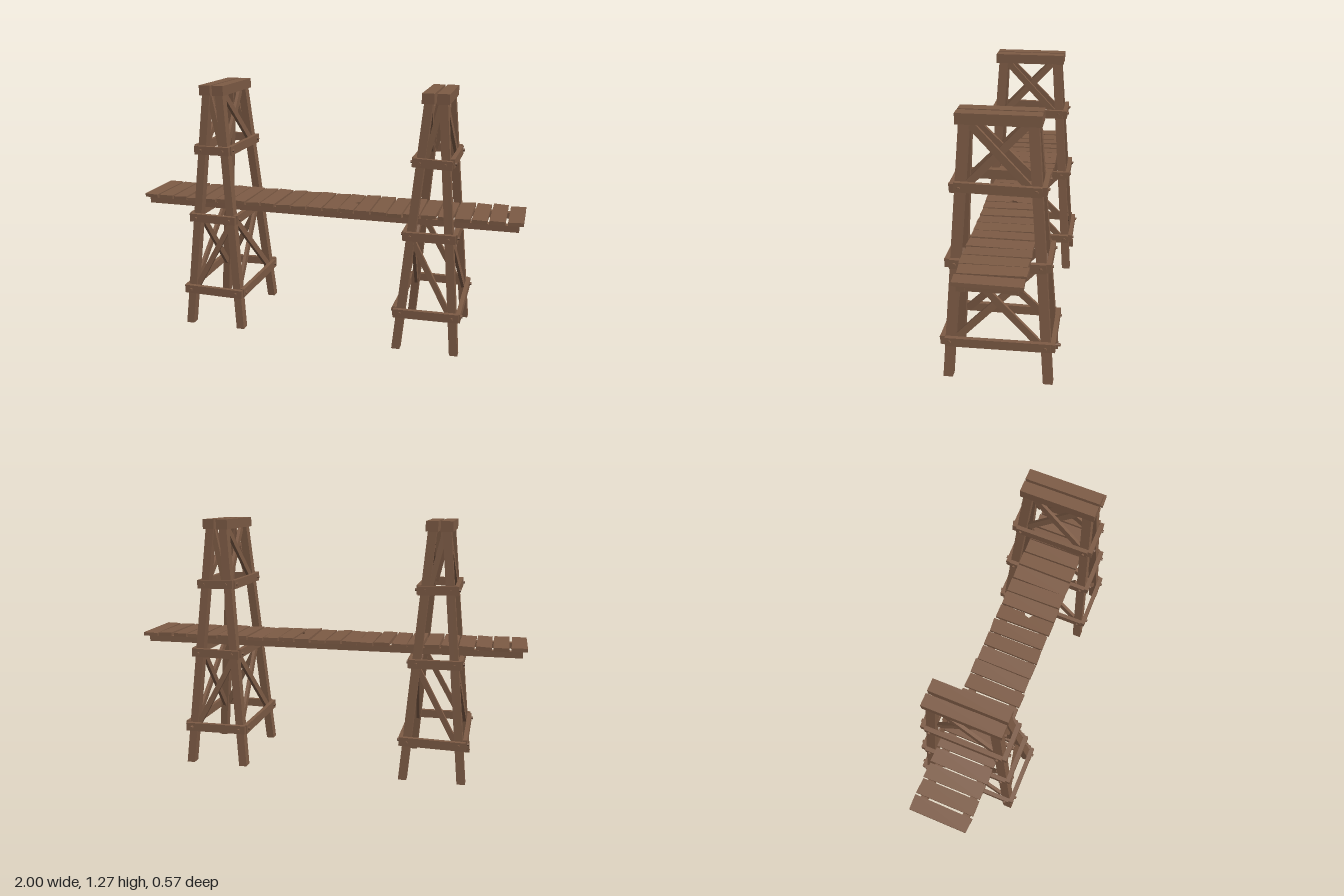
import * as THREE from 'three';

const V = (x, y, z) => new THREE.Vector3(x, y, z);
const LEG_TOP = 1.23;
const MID_Z = 0.0125;

// half spacing of a tower's legs at a height
const legX = (y) => THREE.MathUtils.lerp(0.145, 0.035, y / LEG_TOP);
const legZ = (y) => THREE.MathUtils.lerp(0.238, 0.15, y / LEG_TOP);

function makeRandom(seed) {
  return () => {
    seed = (seed * 16807) % 2147483647;
    return seed / 2147483647 - 0.5;
  };
}

export function createModel() {
  const wood = new THREE.MeshStandardMaterial({ color: 0x7d5b45 });
  wood.name = 'brown wood';
  wood.flatShading = true;
  const rand = makeRandom(4711);
  const model = new THREE.Group();
  model.name = 'trestleBridge';

  function add(parent, geometry, name) {
    const mesh = new THREE.Mesh(geometry, wood);
    mesh.name = name;
    parent.add(mesh);
    return mesh;
  }

  // straight timber from a to b, its thickness measured along the given normal
  function beam(parent, name, a, b, width, thickness, normal) {
    const along = b.clone().sub(a);
    const length = along.length();
    along.normalize();
    const side = normal.clone().cross(along).normalize();
    const out = along.clone().cross(side);
    const geo = new THREE.BoxGeometry(width, thickness, length);
    geo.applyMatrix4(new THREE.Matrix4().makeBasis(side, out, along));
    const mesh = add(parent, geo, name);
    // makeBasis(side, out, along) is left-handed when out opposes along x side
    mesh.position.copy(a).add(b).multiplyScalar(0.5);
    return mesh;
  }

  // leaning leg with level ends
  function leg(parent, sx, sz) {
    const geo = new THREE.BoxGeometry(0.041, LEG_TOP, 0.046);
    geo.translate(0, LEG_TOP / 2, 0);
    const p = geo.attributes.position;
    for (let i = 0; i < p.count; i++) {
      const y = p.getY(i);
      p.setXYZ(i, p.getX(i) + sx * legX(y), y, p.getZ(i) + sz * legZ(y));
    }
    geo.computeVertexNormals();
    add(parent, geo, 'leg');
  }

  // bolt head along x or z
  function bolt(parent, x, y, z, axis) {
    const geo = new THREE.CylinderGeometry(0.008, 0.008, 0.016, 6);
    if (axis === 'x') geo.rotateZ(Math.PI / 2);
    else geo.rotateX(Math.PI / 2);
    add(parent, geo, 'bolt').position.set(x, y, z);
  }

  function tower(s) {
    const g = new THREE.Group();
    g.name = s > 0 ? 'leftTower' : 'rightTower';
    g.position.set(s * 0.564, 0, MID_Z);
    model.add(g);

    for (const sx of [-1, 1]) {
      for (const sz of [-1, 1]) leg(g, sx, sz);
      // twin cap beams
      const cap = add(g, new THREE.BoxGeometry(0.059, 0.05, 0.375), 'capBeam');
      cap.position.set(sx * 0.0355, 1.25, 0);
    }

    // rails bolted around the legs
    for (const y of [0.198, 0.59, 0.947]) {
      const x = legX(y), z = legZ(y);
      for (const k of [-1, 1]) {
        const zr = k * (z + 0.034), xr = k * (x + 0.0305);
        const tilt = rand() * 0.008;
        beam(g, 'crossRail', V(-x - 0.034, y + tilt, zr), V(x + 0.034, y - tilt, zr), 0.043, 0.022, V(0, 0, 1));
        beam(g, 'sideRail', V(xr, y - tilt, -z - 0.023), V(xr, y + tilt, z + 0.023), 0.045, 0.021, V(1, 0, 0));
        for (const e of [-1, 1]) {
          bolt(g, e * x, y, zr + k * 0.012, 'z');
          bolt(g, xr + k * 0.011, y, e * z, 'x');
        }
      }
    }

    // crossed braces on the sides, single diagonals at the front and back
    for (const [y0, y1] of [[0.2, 0.57], [0.95, 1.22]]) {
      for (const k of [-1, 1]) {
        for (const d of [-1, 1]) {
          const shift = d * 0.008;
          beam(g, 'sideBrace',
            V(k * legX(y0) + shift, y0, -d * (legZ(y0) - 0.03)),
            V(k * legX(y1) + shift, y1, d * (legZ(y1) - 0.03)), 0.034, 0.016, V(1, 0, 0));
        }
        const low = y0 < 0.5;
        beam(g, 'diagonalBrace',
          V(s * (low ? 0.11 : -0.04), y0, k * legZ(y0)),
          V(s * (low ? -0.09 : 0.024), y1, k * legZ(y1)), 0.027, 0.02, V(0, 0, 1));
      }
    }
    return g;
  }

  tower(-1);
  const left = tower(1);
  // one bolt that has worked loose at the back
  bolt(left, legX(0.2), 0.2, -legZ(0.2) - 0.06, 'z');

  // deck frame
  const deck = new THREE.Group();
  deck.name = 'deck';
  model.add(deck);
  for (const z of [-0.102, 0.122]) {
    add(deck, new THREE.BoxGeometry(1.955, 0.031, 0.036), 'stringer').position.set(0, 0.636, z);
  }
  for (const x of [-0.955, 0.955]) {
    add(deck, new THREE.BoxGeometry(0.036, 0.028, 0.19), 'endBeam').position.set(x, 0.636, 0.01);
  }

  // uneven deck planks
  const count = 24, pitch = 2 / count, notched = 13;
  for (let i = 0; i < count; i++) {
    const w = pitch - 0.008, h = 0.15;
    let geo;
    if (i === notched) {
      // plank with a broken edge
      const shape = new THREE.Shape([
        [-w / 2, -h], [w / 2, -h], [w / 2, -0.03], [w / 2 - 0.02, -0.015],
        [w / 2 - 0.012, 0.01], [w / 2, 0.014], [w / 2, h], [-w / 2, h],
      ].map(([x, y]) => new THREE.Vector2(x, y)));
      geo = new THREE.ExtrudeGeometry(shape, { depth: 0.018, bevelEnabled: false });
      geo.translate(0, 0, -0.009).rotateX(-Math.PI / 2);
    } else {
      geo = new THREE.BoxGeometry(w, 0.018, h * 2);
      const p = geo.attributes.position;
      const corner = [0, 1, 2, 3].map(() => [rand() * 0.005, rand() * 0.008]);
      for (let j = 0; j < p.count; j++) {
        const c = corner[(p.getX(j) > 0 ? 1 : 0) + (p.getZ(j) > 0 ? 2 : 0)];
        p.setX(j, p.getX(j) + c[0]);
        p.setZ(j, p.getZ(j) + c[1]);
      }
      geo.computeVertexNormals();
    }
    const plank = add(deck, geo, 'plank');
    const end = i === 0 ? -0.004 : i === count - 1 ? 0.004 : 0;
    plank.position.set(-1 + pitch * (i + 0.5) + end, 0.663 + rand() * 0.005, 0.005 + rand() * 0.006);
    plank.rotation.set(rand() * 0.02, rand() * 0.02, rand() * 0.1);
  }
  return model;
}
